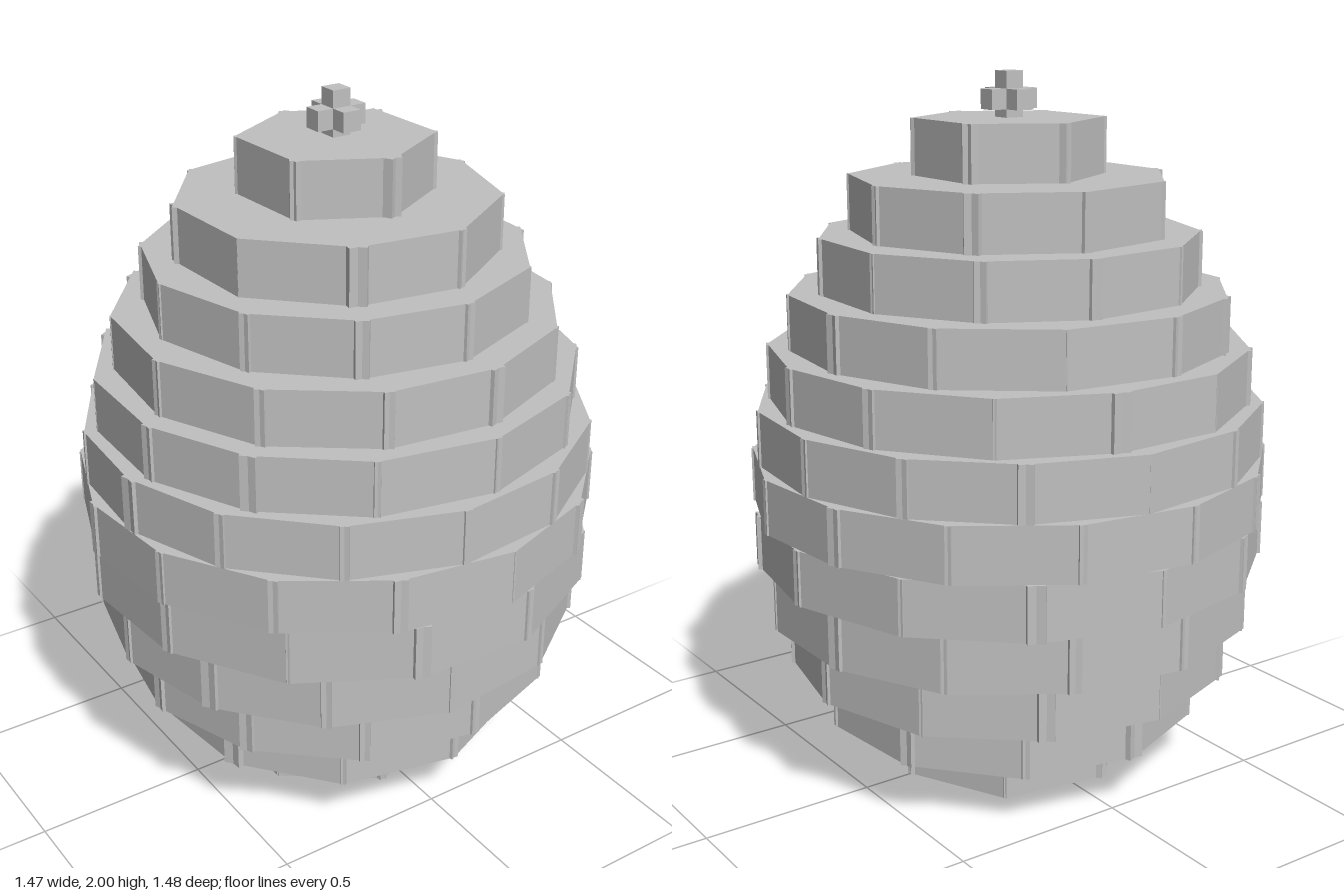
import * as THREE from 'three';
import { mergeGeometries } from 'three/addons/utils/BufferGeometryUtils.js';

// One row per course, bottom to top: distance of block faces from the axis,
// number of blocks, angle of the first joint in degrees (from +z towards +x)
const COURSES = [
  [0.315, 7, 40], [0.515, 10, 5], [0.62, 12, 4], [0.68, 13, 20],
  [0.708, 13, 12], [0.72, 14, 5], [0.702, 14, 20], [0.662, 13, 3],
  [0.6, 12, 8], [0.515, 11, 6], [0.42, 9, 13], [0.23, 6, 2],
];
const COURSE_HEIGHT = 1.875 / COURSES.length;

// Small seeded generator for the uneven joints
function seeded(seed) {
  return () => {
    seed = (seed * 16807) % 2147483647;
    return seed / 2147483647;
  };
}

// A ring of blocks reaching the axis, slightly overlapping at the joints
function courseGeometry([reach, count, joint], random) {
  const step = (Math.PI * 2) / count;
  const width = 2 * reach * Math.tan(step / 2) * 1.08;
  const blocks = [];
  for (let i = 0; i < count; i++) {
    const angle = THREE.MathUtils.degToRad(joint) + (i + 0.5 + (random() - 0.5) * 0.08) * step;
    const block = new THREE.BoxGeometry(width, COURSE_HEIGHT, reach);
    block.translate(0, 0, reach / 2);
    block.rotateY(angle);
    blocks.push(block);
  }
  return mergeGeometries(blocks);
}

export function createModel() {
  const group = new THREE.Group();
  group.name = 'layeredCone';
  const grey = new THREE.MeshStandardMaterial({ color: 0xc0c0c0 });
  grey.name = 'grey';
  const random = seeded(17);

  // Stacked courses of blocks
  COURSES.forEach((course, i) => {
    const mesh = new THREE.Mesh(courseGeometry(course, random), grey);
    mesh.name = `course${i + 1}`;
    mesh.position.y = (i + 0.5) * COURSE_HEIGHT;
    group.add(mesh);
  });

  // Three crossing bars at the tip
  const finial = new THREE.Group();
  finial.name = 'finial';
  finial.position.y = 1.925;
  const long = 0.15, thin = 0.055;
  for (const [name, x, y, z] of [
    ['barAcross', long, thin, thin],
    ['barUpright', thin, long, thin],
    ['barForward', thin, thin, long],
  ]) {
    const bar = new THREE.Mesh(new THREE.BoxGeometry(x, y, z), grey);
    bar.name = name;
    finial.add(bar);
  }
  group.add(finial);
  return group;
}
